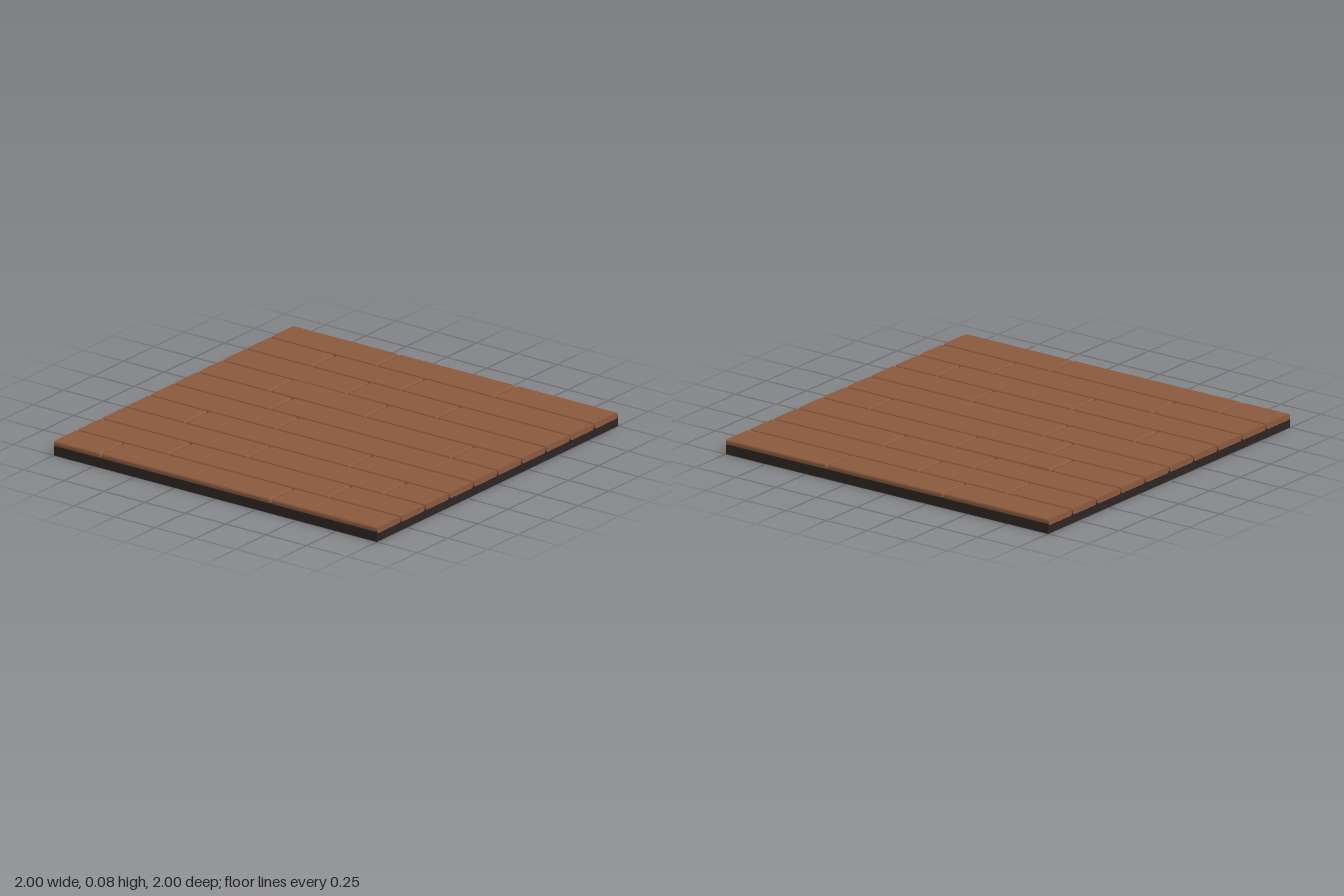
import * as THREE from 'three';

const wood = new THREE.MeshStandardMaterial({ color: 0x8b5a3e });
wood.name = 'brown wood';
const dark = new THREE.MeshStandardMaterial({ color: 0x2e2422 });
dark.name = 'dark underlay';

const ROWS = 10, ROW_WIDTH = 0.2, GAP = 0.0045, BEVEL = 0.01;
const HALF_W = ROW_WIDTH / 2 - GAP, HALF_H = 0.016, PLANK_Y = 0.059;

// x of the butt joints in every row, from back to front
const JOINTS = [
  [-0.345, 0.375], [-0.595, -0.045], [-0.235, 0.325], [-0.56, 0.03], [-0.41, 0.71],
  [-0.225], [-0.635, 0.38], [-0.1, 0.74], [-0.44, 0.55], [-0.71, 0.34],
];

// Rounded cross-section of a plank at x; r is the corner radius
function section(x, r) {
  const points = [];
  for (let corner = 0; corner < 4; corner++) {
    const sz = corner === 0 || corner === 3 ? 1 : -1;
    const sy = corner < 2 ? 1 : -1;
    for (let k = 0; k < 3; k++) {
      const a = (corner + k / 2) * Math.PI / 2;
      points.push([
        x,
        sy * (HALF_H - BEVEL) + r * Math.sin(a),
        sz * (HALF_W - BEVEL) + r * Math.cos(a),
      ]);
    }
  }
  return points;
}

// Plank centred on x = 0: ends at a joint are rounded, ends at the rim are cut square
function plankGeometry(length, roundLeft, roundRight) {
  const h = length / 2;
  const steps = [[0, 0.001], [0.003, 0.0071], [BEVEL, BEVEL]];
  const end = (side, round) =>
    (round ? steps : [[0, BEVEL]]).map(([inset, r]) => section(side * (h - inset), r));
  const rings = [...end(-1, roundLeft), ...end(1, roundRight).reverse()];
  const n = rings[0].length, last = rings.length - 1, pos = [];
  const tri = (a, b, c) => pos.push(...a, ...b, ...c);
  for (let j = 0; j < n; j++) {
    const k = (j + 1) % n;
    for (let i = 0; i < last; i++) {
      tri(rings[i][j], rings[i + 1][j], rings[i + 1][k]);
      tri(rings[i][j], rings[i + 1][k], rings[i][k]);
    }
    tri([-h, 0, 0], rings[0][j], rings[0][k]);
    tri([h, 0, 0], rings[last][k], rings[last][j]);
  }
  const geometry = new THREE.BufferGeometry();
  geometry.setAttribute('position', new THREE.Float32BufferAttribute(pos, 3));
  geometry.computeVertexNormals();
  return geometry;
}

export function createModel() {
  const model = new THREE.Group();
  model.name = 'plankFloor';

  // Underlay slab
  const base = new THREE.Mesh(new THREE.BoxGeometry(1.998, 0.05, 2), dark);
  base.name = 'underlay';
  base.position.y = 0.025;
  model.add(base);

  // Rows of planks
  for (let row = 0; row < ROWS; row++) {
    const cuts = [-1, ...JOINTS[row], 1];
    for (let i = 0; i < cuts.length - 1; i++) {
      const first = i === 0, final = i === cuts.length - 2;
      const x0 = cuts[i] + (first ? 0 : GAP), x1 = cuts[i + 1] - (final ? 0 : GAP);
      const plank = new THREE.Mesh(plankGeometry(x1 - x0, !first, !final), wood);
      plank.name = `plank${row + 1}_${i + 1}`;
      plank.position.set((x0 + x1) / 2, PLANK_Y, -1 + (row + 0.5) * ROW_WIDTH);
      // One slightly warped board
      if (row === 3 && i === 1) {
        plank.position.y += 0.001;
        plank.rotation.set(0.01, 0, -0.005);
      }
      model.add(plank);
    }
  }
  return model;
}
